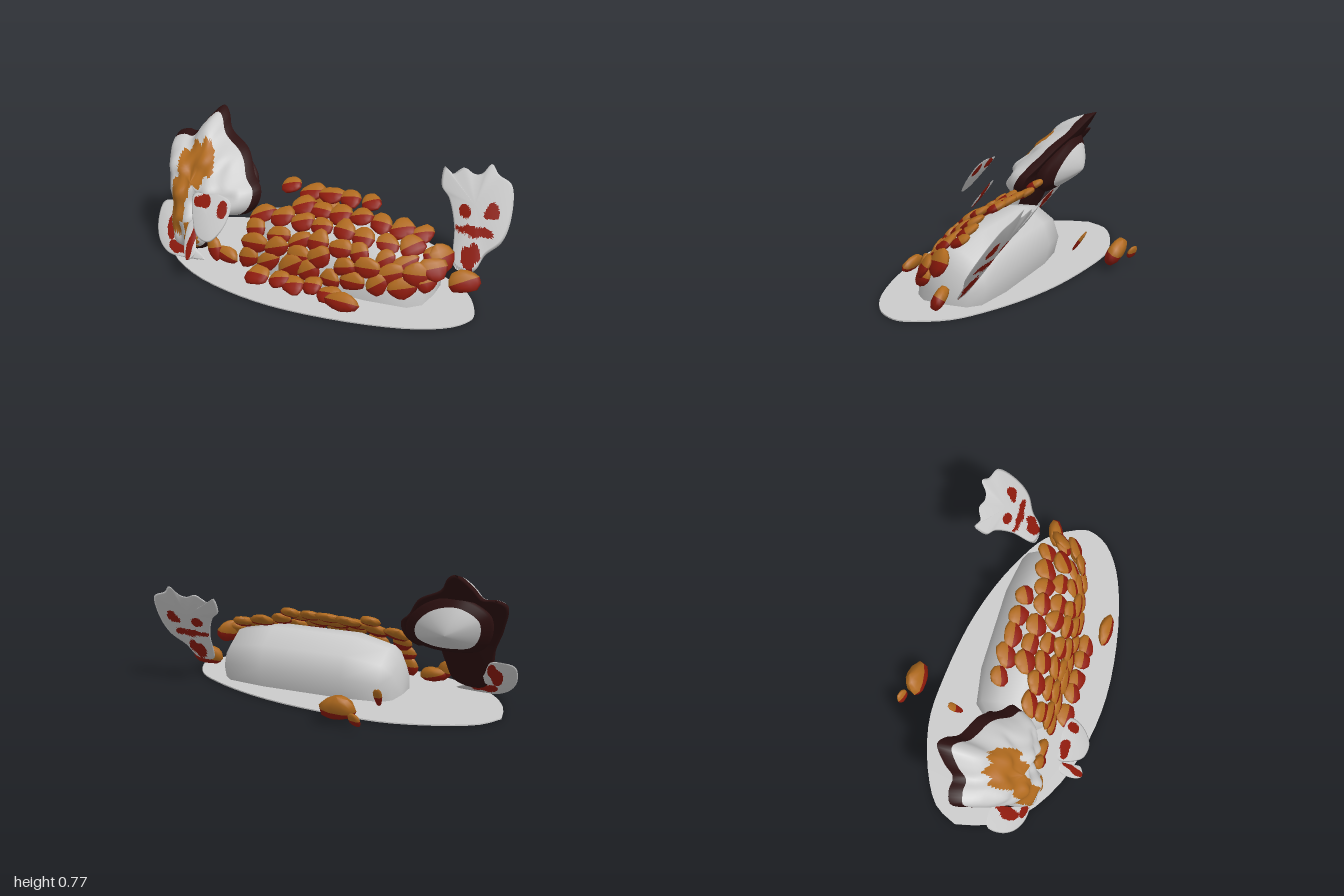
import * as THREE from 'three';
import { toCreasedNormals } from 'three/addons/utils/BufferGeometryUtils.js';

const GREY = 0xcccccc, RED = 0x8e1a0c, ORANGE = 0xb06a1e, DARK = 0x2c1010;
const materials = {};
const mat = (c) => (materials[c] ??= new THREE.MeshStandardMaterial({ color: c, roughness: 0.7 }));

// small seeded generator for natural variation
let seed = 7;
const rand = (a, b) => {
  seed = (seed * 16807) % 2147483647;
  return a + (b - a) * (seed / 2147483647);
};

// skin over closed rings of points
function skin(rings) {
  const n = rings[0].length, index = [];
  for (let i = 0; i < rings.length - 1; i++) {
    for (let j = 0; j < n; j++) {
      const a = i * n + j, b = i * n + (j + 1) % n;
      index.push(a, b, a + n, b, b + n, a + n);
    }
  }
  const g = new THREE.BufferGeometry();
  g.setAttribute('position', new THREE.Float32BufferAttribute(rings.flat(2), 3));
  g.setIndex(index);
  g.computeVertexNormals();
  return g;
}

// split the faces of a geometry by colour, sharing its smooth normals
function paint(name, geo, colorAt) {
  const group = new THREE.Group(), lists = new Map(), p = geo.attributes.position, idx = geo.index.array;
  group.name = name;
  for (let f = 0; f < idx.length; f += 3) {
    const v = [0, 1, 2].map((k) => new THREE.Vector3().fromBufferAttribute(p, idx[f + k]));
    const c = colorAt(v[0].add(v[1]).add(v[2]).divideScalar(3), f / 3);
    if (!lists.has(c)) lists.set(c, []);
    lists.get(c).push(idx[f], idx[f + 1], idx[f + 2]);
  }
  for (const [c, list] of lists) {
    const g = new THREE.BufferGeometry();
    g.setAttribute('position', p);
    g.setAttribute('normal', geo.attributes.normal);
    g.setIndex(list);
    const m = new THREE.Mesh(g, mat(c));
    m.name = name + 'Surface';
    group.add(m);
  }
  return group;
}

// cushion shape from a clockwise outline lying on a slanted plane
const SIDES = 120, RINGS = 16;
function cushion(outline, [cx, cy], planeZ, front, back) {
  const curve = new THREE.CatmullRomCurve3(outline.map(([x, y]) => new THREE.Vector3(x, y, 0)), true, 'centripetal');
  const rim = curve.getSpacedPoints(SIDES).slice(0, SIDES), rings = [];
  for (let i = 0; i <= 2 * RINGS; i++) {
    const t = 1 - Math.abs(1 - i / RINGS);
    rings.push(rim.map((q) => {
      const x = cx + (q.x - cx) * t, y = cy + (q.y - cy) * t;
      return [x, y, planeZ(y) + (i < RINGS ? front(t, x, y) : -back(t))];
    }));
  }
  return skin(rings);
}

const near = (p, x, y, rx, ry) => ((p.x - x) / rx) ** 2 + ((p.y - y) / ry) ** 2 < 1 + 0.3 * Math.sin(p.x * 70 + p.y * 50);

// thin fin with red patches
function fin(name, outline, center, planeZ, thick, spots) {
  const lens = (t) => thick * (1 - t * t);
  return paint(name, cushion(outline, center, planeZ, lens, lens),
    (p) => (spots.some((s) => near(p, ...s)) ? RED : GREY));
}

// chunky scale, orange on its upper half and red below
function scale(x, y, z, w, h, d, tilt, yaw = 0, roll = 0) {
  const cols = 10, geo = new THREE.SphereGeometry(1, cols, 6), p = geo.attributes.position;
  for (let i = 0; i < p.count; i++) {
    const px = p.getX(i), py = p.getY(i), pz = p.getZ(i);
    const k = 1 + 0.16 * Math.sin(3 * px + x * 40) * Math.cos(2 * py + y * 50);
    p.setXYZ(i, px * k * w, py * k * h, Math.sign(pz) * Math.abs(pz) ** 0.7 * d);
  }
  geo.computeVertexNormals();
  const s = paint('scale', geo, (q, f) => (f < cols * 5 ? ORANGE : RED));
  s.position.set(x, y, z);
  s.rotation.set(tilt, yaw, roll, 'YXZ');
  return s;
}

export function createModel() {
  const model = new THREE.Group();

  // flat oval base
  const edge = [[-0.98, -0.05], [-0.9, -0.19], [-0.7, -0.3], [-0.45, -0.37], [-0.2, -0.37], [0.15, -0.33],
    [0.45, -0.25], [0.7, -0.14], [0.86, -0.03], [0.96, 0.14], [0.96, 0.24], [0.88, 0.35], [0.7, 0.45],
    [0.4, 0.53], [0.05, 0.57], [-0.25, 0.55], [-0.55, 0.47], [-0.8, 0.32], [-0.93, 0.13]];
  const shape = new THREE.Shape();
  const rim = new THREE.SplineCurve([...edge, edge[0]].map(([x, z]) => new THREE.Vector2(x, -z)));
  shape.setFromPoints(rim.getPoints(60));
  const baseGeo = new THREE.ExtrudeGeometry(shape, { depth: 0.007, bevelEnabled: false });
  baseGeo.rotateX(-Math.PI / 2);
  const base = new THREE.Mesh(baseGeo, mat(GREY));
  base.name = 'base';
  model.add(base);

  // loaf-shaped body: one cross-section [z, y] scaled along x
  const section = [[-0.13, 0.012], [-0.16, 0.13], [-0.12, 0.25], [0, 0.33], [0.12, 0.325],
    [0.22, 0.26], [0.29, 0.14], [0.3, 0.012]];
  const stations = [[-0.37, 0], [-0.36, 0.58], [-0.31, 0.85], [-0.1, 1], [0.4, 1], [0.63, 0.86], [0.69, 0.58], [0.7, 0]];
  const bodyGeo = skin(stations.map(([x, s]) => section.map(([z, y]) =>
    [x, 0.012 + (y - 0.012) * s, 0.07 + (z - 0.07) * s])));
  const body = new THREE.Mesh(toCreasedNormals(bodyGeo, 1.1), mat(GREY));
  body.name = 'body';
  model.add(body);

  // head: full wrinkled face with a dark rim
  const face = [[-0.99, 0.6], [-0.93, 0.63], [-0.86, 0.63], [-0.82, 0.7], [-0.75, 0.77], [-0.7, 0.74],
    [-0.65, 0.67], [-0.5, 0.59], [-0.41, 0.48], [-0.345, 0.42], [-0.35, 0.34], [-0.42, 0.28], [-0.54, 0.3],
    [-0.57, 0.2], [-0.6, 0.09], [-0.68, 0.05], [-0.78, 0.06], [-0.83, 0.15], [-0.87, 0.3], [-0.94, 0.45]];
  const facePlane = (y) => (y > 0.42 ? 0.1 - (y - 0.42) * 0.79 : 0.1 + (0.42 - y) * 0.45);
  const wrinkle = (x, y) => 0.012 * Math.sin(x * 31 + y * 17) + 0.01 * Math.sin(y * 43 - x * 13)
    + 0.005 * Math.sin(x * 71 + Math.sin(y * 40));
  const headGeo = cushion(face, [-0.71, 0.45], facePlane,
    (t, x, y) => 0.15 * (1 - t ** 7) + 0.04 * (1 - t) + wrinkle(x, y) * Math.min(1, 4 * t) * (1 - t ** 4),
    (t) => 0.02 * (1 - t * t));
  model.add(paint('head', headGeo, (p, f) => {
    if (f >= (RINGS - 1) * 2 * SIDES) return DARK;
    const brow = near(p, -0.72, 0.53, 0.11, 0.11) || near(p, -0.77, 0.34, 0.06, 0.2) || near(p, -0.66, 0.17, 0.04, 0.09);
    return brow ? ORANGE : GREY;
  }));

  // rounded back of the head, dark at its edge
  const oval = [[-0.9, 0.54], [-0.78, 0.62], [-0.66, 0.62], [-0.52, 0.56], [-0.42, 0.45], [-0.42, 0.36],
    [-0.52, 0.31], [-0.7, 0.3], [-0.83, 0.33], [-0.9, 0.43]];
  const backGeo = cushion(oval, [-0.68, 0.43], (y) => -0.06 + (0.62 - y) * 0.35,
    (t) => 0.1 * (1 - t ** 6), (t) => 0.13 * (1 - t ** 1.4));
  model.add(paint('headBack', backGeo, (p, f) => (f < (RINGS + 4) * 2 * SIDES ? DARK : GREY)));

  // fins
  model.add(fin('tailFin', [[0.55, 0.56], [0.6, 0.53], [0.66, 0.57], [0.73, 0.55], [0.77, 0.56], [0.81, 0.61],
    [0.86, 0.57], [0.95, 0.53], [0.99, 0.37], [0.97, 0.27], [0.9, 0.2], [0.86, 0.12], [0.75, 0.12],
    [0.69, 0.3], [0.62, 0.42], [0.56, 0.47]], [0.78, 0.42], (y) => -0.07 - (y - 0.1) * 0.69, 0.018,
  [[0.73, 0.38, 0.04, 0.03], [0.88, 0.4, 0.04, 0.04], [0.82, 0.3, 0.11, 0.025], [0.82, 0.18, 0.05, 0.06]]));
  model.add(fin('upperFrontFin', [[-0.58, 0.47], [-0.5, 0.48], [-0.42, 0.49], [-0.34, 0.46], [-0.34, 0.36],
    [-0.4, 0.28], [-0.48, 0.29], [-0.54, 0.36]], [-0.45, 0.39], (y) => 0.4 + (0.49 - y) * 0.72, 0.014,
  [[-0.51, 0.45, 0.05, 0.03], [-0.38, 0.43, 0.03, 0.04]]));
  model.add(fin('smallFrontFin', [[-0.6, 0.31], [-0.56, 0.32], [-0.53, 0.24], [-0.51, 0.17], [-0.55, 0.14],
    [-0.59, 0.2]], [-0.56, 0.23], (y) => 0.43 + (0.32 - y) * 0.72, 0.008, [[-0.55, 0.22, 0.02, 0.08]]));
  model.add(fin('lowerFrontFin', [[-0.985, 0.23], [-0.92, 0.25], [-0.85, 0.24], [-0.78, 0.13], [-0.68, 0.06],
    [-0.6, 0.02], [-0.68, 0.01], [-0.84, 0.01], [-0.93, 0.06], [-0.98, 0.14]], [-0.86, 0.11],
  (y) => 0.33 - y * 0.8, 0.014, [[-0.86, 0.15, 0.04, 0.07], [-0.77, 0.05, 0.09, 0.03]]));

  // rows of scales over the front and top: y, z, first x, last x, count, tilt
  const scales = new THREE.Group();
  scales.name = 'scales';
  const rows = [[0.42, -0.015, -0.2, 0.27, 5, -1.05], [0.375, 0.09, -0.08, 0.62, 7, -1],
    [0.32, 0.18, -0.28, 0.7, 9, -0.85], [0.255, 0.25, -0.28, 0.72, 9, -0.55], [0.185, 0.29, -0.27, 0.66, 8, -0.3],
    [0.11, 0.315, -0.3, 0.6, 8, -0.25], [0.055, 0.375, -0.2, 0.24, 5, -1]];
  rows.forEach(([y, z, x0, x1, n, tilt], r) => {
    for (let i = 0; i < n; i++) {
      const x = x0 + (x1 - x0) * i / (n - 1), end = Math.max(0, x - 0.3);
      scales.add(scale(x + rand(-0.015, 0.015), y - end * (r < 4 ? 0.12 : 0) + rand(-0.015, 0.015), z - end * 0.2,
        rand(0.06, 0.08), rand(0.05, 0.068), 0.022, tilt, end * 1.2, rand(-0.1, 0.6)));
    }
  });
  // scales at the ends of the body and fallen ones around it
  [[0.74, 0.25, 0.08, 0.07, 0.075, 0.03, -0.5, 0.9, 0.2], [0.71, 0.15, 0.19, 0.06, 0.055, 0.03, -0.4, 0.8, 0.1],
    [0.85, 0.105, 0.02, 0.09, 0.065, 0.035, -0.5, 0.3, 0.4], [-0.46, 0.08, 0.3, 0.08, 0.045, 0.03, -0.4, 0, -0.3],
    [-0.53, 0.11, 0.31, 0.04, 0.07, 0.025, -0.3, 0, 0.3], [0.35, 0.07, 0.465, 0.09, 0.05, 0.03, -0.6, 0, 0],
    [-0.25, 0.09, -0.5, 0.1, 0.075, 0.045, -0.5, 0.1, 0.1], [-0.37, 0.06, -0.555, 0.045, 0.04, 0.012, -0.4, -0.3, 0],
    [-0.36, 0.09, -0.24, 0.025, 0.07, 0.01, -0.6, 0.2, 0]].forEach((a) => scales.add(scale(...a)));
  model.add(scales);
  return model;
}
